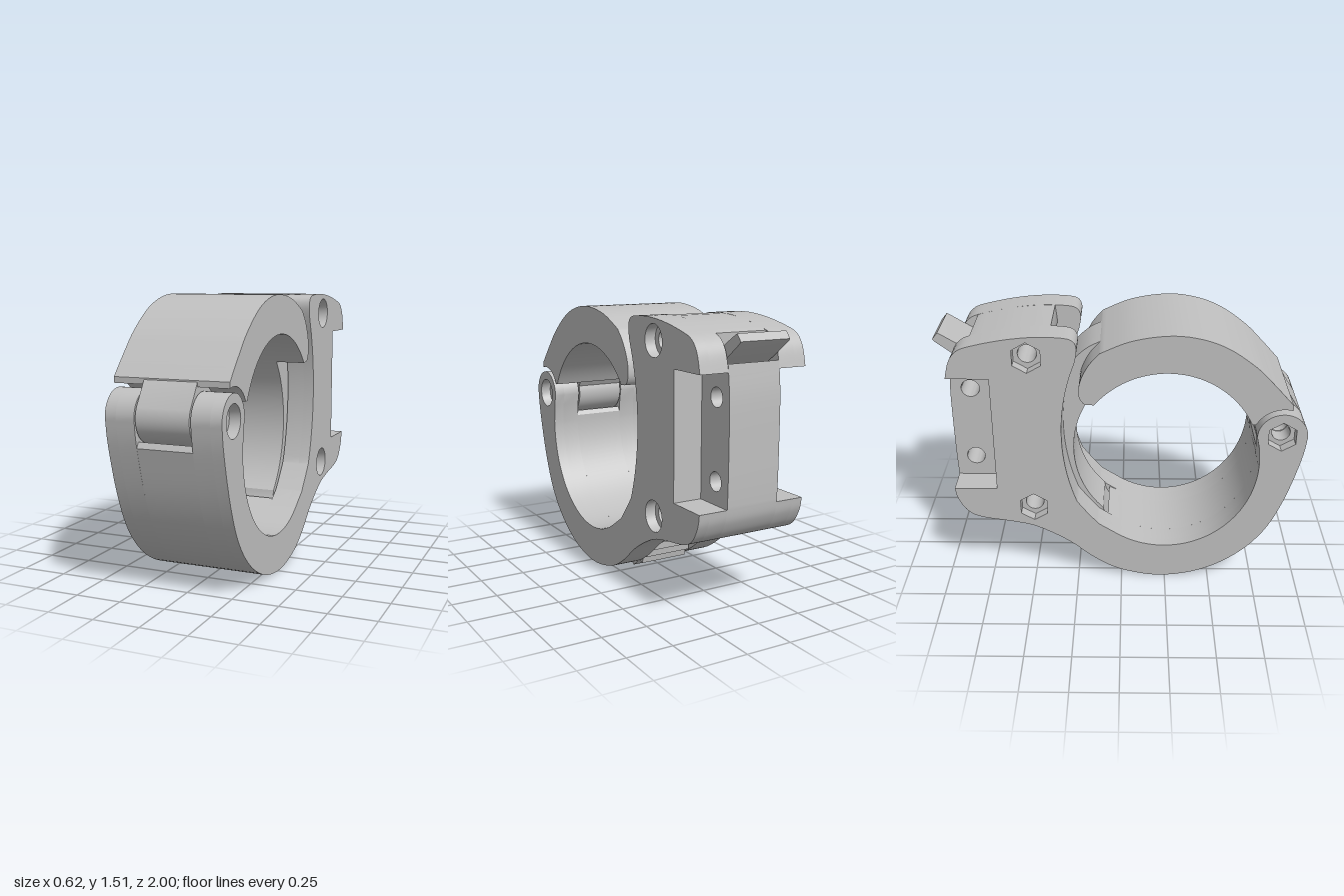
import * as THREE from 'three';
import { toCreasedNormals } from 'three/addons/utils/BufferGeometryUtils.js';

// All outlines are drawn as [z, y] points and extruded along x.
const HINGE = [0.862, 0.925];
const BOLTS = [[-0.49, 1.38], [-0.49, 0.47]];
const PLATE_HOLES = [[-0.82, 1.13], [-0.82, 0.71]];
const HALF = 0.31, SLOT = 0.15, TONGUE = 0.143;
const rad = THREE.MathUtils.degToRad;

// Elliptical arc as points, angles in degrees
function arc([z, y], rz, ry, a0, a1, n = 24) {
  return Array.from({ length: n + 1 }, (_, i) => {
    const a = rad(a0 + (a1 - a0) * i / n);
    return [z + rz * Math.cos(a), y + ry * Math.sin(a)];
  });
}

// Smooth curve through a few points
function smooth(pts, n = 5) {
  const curve = new THREE.SplineCurve(pts.map(p => new THREE.Vector2(...p)));
  return curve.getPoints(n * (pts.length - 1)).map(p => [p.x, p.y]);
}

// Point on an arc about the hinge: phi in radians, up is positive, pointing to the back
const swing = (r, phi) => [HINGE[0] - r * Math.cos(phi), HINGE[1] + r * Math.sin(phi)];
function swingArc(r, p0, p1, n = 16) {
  return Array.from({ length: n + 1 }, (_, i) => swing(r, p0 + (p1 - p0) * i / n));
}

const hole = (c, r, sides = 32) => arc(c, r, r, 90, 450, sides).slice(0, -1);

export function createModel() {
  const model = new THREE.Group();
  const grey = new THREE.MeshStandardMaterial({ color: 0xbfbfbf });
  grey.name = 'light grey';

  function slab(name, outline, x0, x1, holes = []) {
    const toV = pts => pts.map(p => new THREE.Vector2(...p));
    const clean = outline.filter((p, i) => {
      const q = outline[(i + 1) % outline.length];
      return Math.hypot(p[0] - q[0], p[1] - q[1]) > 1e-4;
    });
    const shape = new THREE.Shape(toV(clean));
    shape.holes = holes.map(h => new THREE.Path(toV(h)));
    let geo = new THREE.ExtrudeGeometry(shape, { depth: x1 - x0, bevelEnabled: false });
    geo.rotateY(-Math.PI / 2).translate(x1, 0, 0);
    geo = toCreasedNormals(geo, 0.5);
    const mesh = new THREE.Mesh(geo, grey);
    mesh.name = name;
    model.add(mesh);
  }

  // Shared outline pieces
  const bore = [0.24, 0.755];
  const blockTop = [[-0.45, 1.495], [-0.6, 1.48], [-0.75, 1.45]];
  const blockBottom = [[-0.925, 0.59], [-0.91, 0.52], [-0.86, 0.44], [-0.78, 0.4], [-0.6, 0.37], [-0.47, 0.335]];
  const ringOuter = [[0.22, 0], [0.45, 0.04], [0.65, 0.15], [0.8, 0.31], [0.9, 0.52], [0.975, 0.78]];

  // Body cheeks: hinge knuckle, lower ring, and block with an open side pocket
  const cheek = [
    ...arc(HINGE, 0.135, 0.135, 0, 180),
    [0.742, 0.86],
    ...arc(bore, 0.51, 0.5425, 0, -122, 40),
    ...smooth([[-0.13, 0.36], [-0.2, 0.445], swing(1.185, -0.36)]),
    ...swingArc(1.185, -0.33, 0.3),
    ...smooth([[-0.24, 1.36], [-0.23, 1.43], [-0.25, 1.475], [-0.31, 1.492],
      ...blockTop, [-0.84, 1.42], [-0.89, 1.36], [-0.917, 1.26]]),
    [-0.69, 1.26], [-0.69, 0.59],
    ...smooth([...blockBottom, [-0.3, 0.24], [-0.15, 0.12], [0, 0.04], ...ringOuter, [0.997, 0.925]]),
  ];
  const joints = [HINGE, ...BOLTS];
  const through = joints.map(c => hole(c, 0.05));
  const DEEP = 0.25;
  slab('leftCheekInner', cheek, SLOT, DEEP, through);
  slab('leftCheekOuter', cheek, DEEP, HALF, joints.map(c => hole(c, 0.085)));
  slab('rightCheekInner', cheek, -DEEP, -SLOT, through);
  slab('rightCheekOuter', cheek, -HALF, -DEEP, joints.map(c => hole(c, 0.085, 6)));

  // Middle of the lower ring, cut short for the hinge and the ratchet slot
  slab('ringCentre', [
    ...arc(HINGE, 0.15, 0.15, -50, -130, 12),
    ...arc(bore, 0.51, 0.5425, 3, -122, 40),
    [-0.08, 0.318],
    ...smooth([[0.075, 0.02], ...ringOuter]),
  ], -SLOT, SLOT);

  // Middle of the block, behind the ratchet channel and open for the lever
  slab('blockCentre', [
    [-0.4, 0.43],
    ...swingArc(1.31, -0.3, 0.37),
    [-0.37, 1.494],
    ...smooth([...blockTop, [-0.8, 1.435]]),
    [-0.8, 1.24], [-0.912, 1.3],
    ...smooth([[-0.917, 1.26], [-0.93, 1.1], [-0.93, 0.75], [-0.925, 0.59]]),
    ...smooth(blockBottom),
  ], -SLOT, SLOT, [...BOLTS, ...PLATE_HOLES].map(c => hole(c, 0.05)));

  // Release lever
  slab('releaseLever', [[-0.8, 1.265], [-0.8, 1.345], [-0.955, 1.44], [-0.97, 1.448],
    [-1, 1.412], [-0.99, 1.4], [-0.89, 1.325]], -TONGUE, TONGUE);

  // Swinging upper arm
  slab('arm', [
    ...arc(HINGE, 0.165, 0.165, 75, 153, 14),
    ...arc(bore, 0.51, 0.5425, 27, 139, 36),
    ...smooth([[-0.17, 1.115], [-0.2, 1.12], [-0.225, 1.17], [-0.215, 1.25], [-0.17, 1.34], [-0.11, 1.408]]),
    ...smooth([[-0.11, 1.408], [0.05, 1.475], [0.24, 1.505], [0.4, 1.49], [0.55, 1.435],
      [0.7, 1.33], [0.8, 1.23], [0.905, 1.115]]),
  ], -HALF, HALF);

  // Arm knuckle between the body's two hinge ears
  slab('armKnuckle', [
    ...arc(HINGE, 0.135, 0.135, 25, -200, 32),
    [0.7, 1.03], [0.66, 1.1], [0.8, 1.22], [0.9, 1.115],
  ], -TONGUE, TONGUE, [hole(HINGE, 0.05)]);

  // Ratchet tongue with saw teeth on the outside
  const teeth = [], COUNT = 19, START = 0.2, END = -0.755;
  for (let i = 0; i < COUNT; i++) {
    const step = (END - START) / COUNT, phi = START + step * i;
    teeth.push(swing(1.245, phi), swing(1.282, phi + step * 0.95));
  }
  slab('ratchetTongue', [
    [-0.05, 1.36],
    ...smooth([[-0.1, 1.41], [-0.18, 1.37], [-0.257, 1.3], [-0.32, 1.2]]),
    ...teeth,
    swing(1.25, -0.765), [0.03, 0.006], [0.058, 0.02],
    [-0.1, 0.315],
    ...arc(bore, 0.51, 0.5425, 227, 137, 30),
  ], -TONGUE, TONGUE);

  return model;
}
